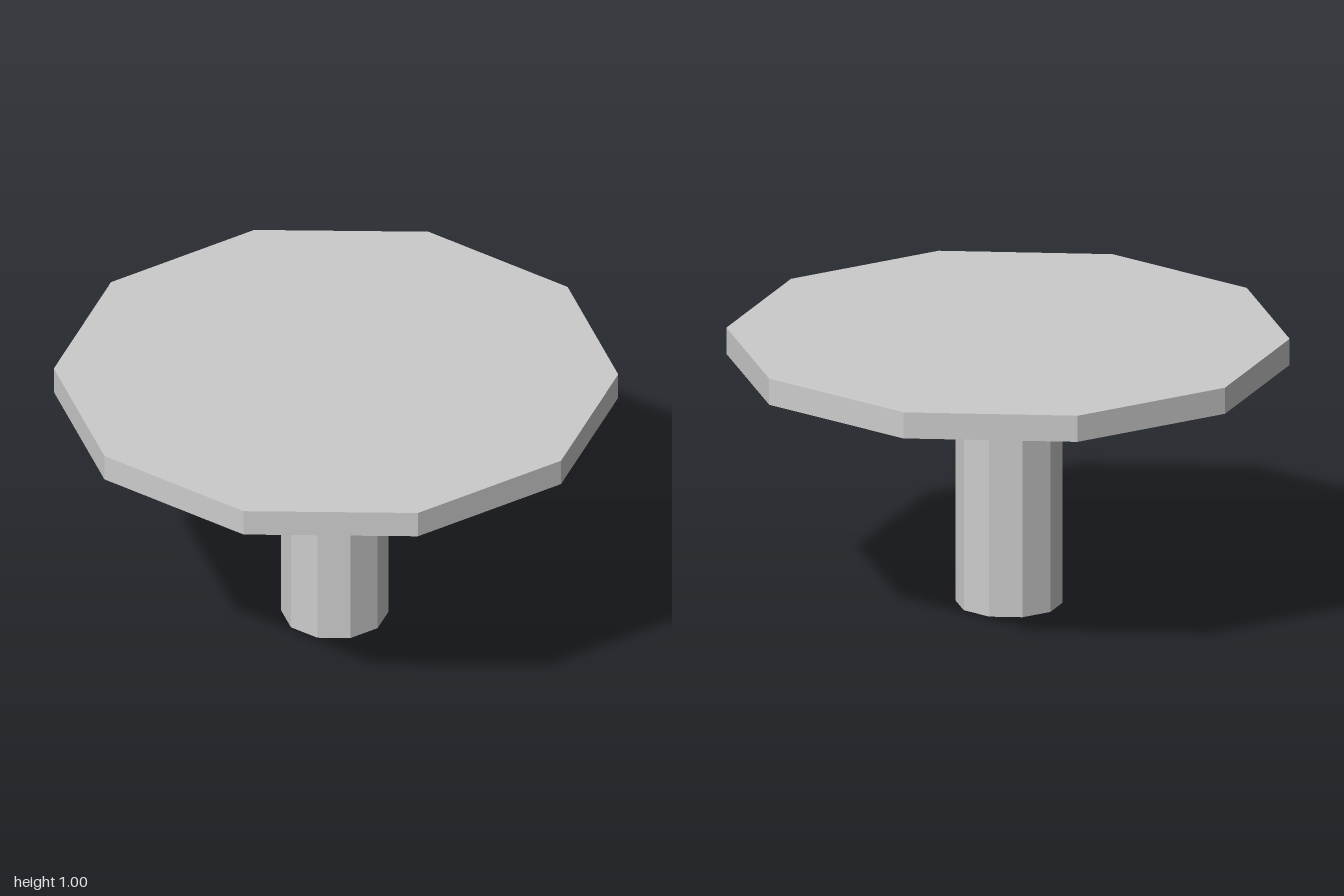
import * as THREE from 'three';

const SIDES = 10;

export function createModel() {
  const group = new THREE.Group();
  group.name = 'pedestalTable';
  const material = new THREE.MeshStandardMaterial({ color: 0xcccccc, flatShading: true });

  // Ten-sided prism with corners on the x axis
  function prism(name, radius, bottom, top, x = 0) {
    const geometry = new THREE.CylinderGeometry(radius, radius, top - bottom, SIDES, 1, false, Math.PI / 2);
    const mesh = new THREE.Mesh(geometry, material);
    mesh.name = name;
    mesh.position.set(x, (bottom + top) / 2, 0);
    group.add(mesh);
  }

  prism('tableTop', 1, 0.9, 0.997);
  prism('pedestal', 0.19, 0, 0.9, -0.004);

  return group;
}
